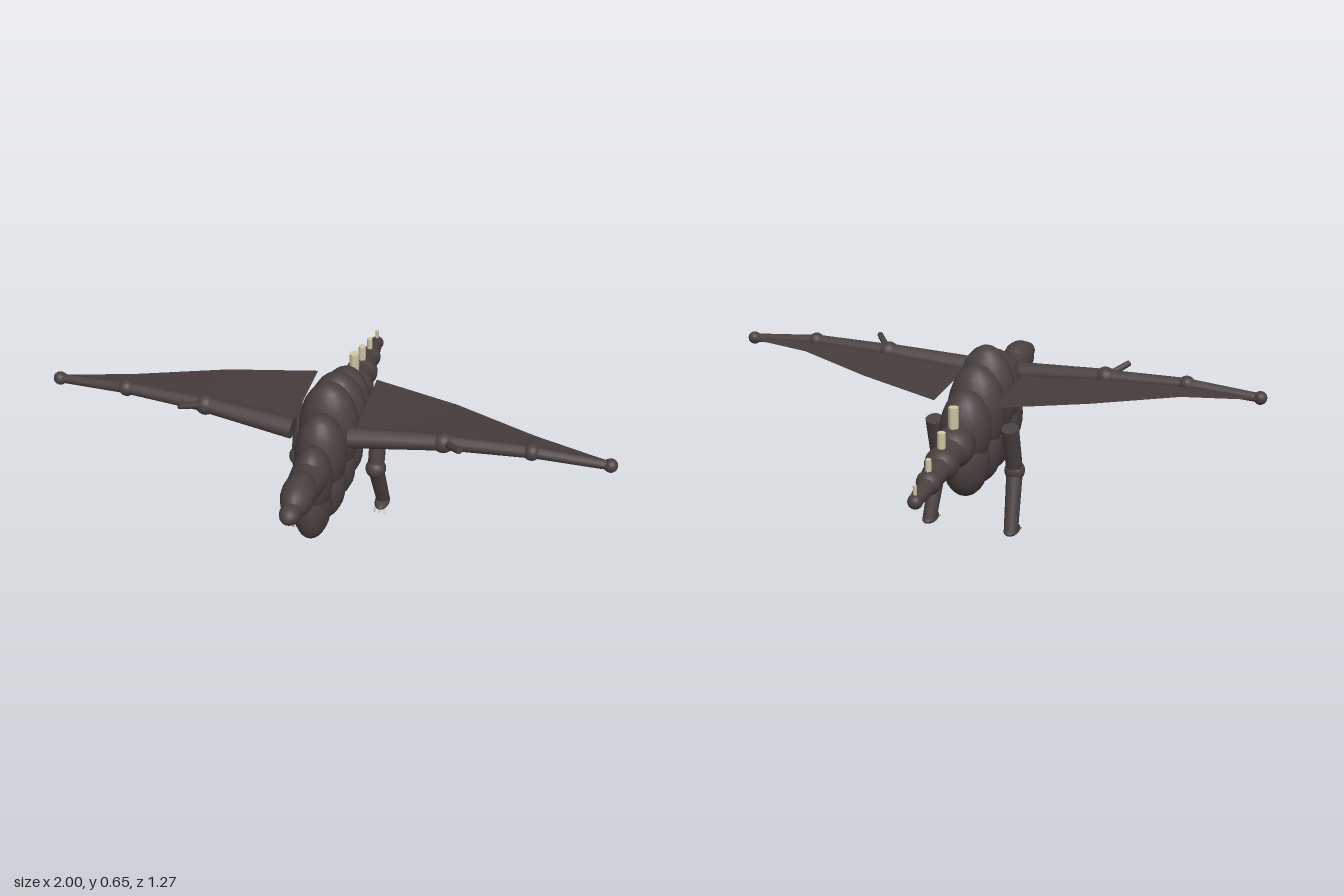
import * as THREE from 'three';

export function createModel() {
  const model = new THREE.Group();
  const hide = new THREE.MeshStandardMaterial({ color: 0x4a4040 });
  hide.name = 'dark hide';
  const membraneHide = new THREE.MeshStandardMaterial({ color: 0x463c3c, side: THREE.DoubleSide });
  membraneHide.name = 'wing hide';
  const bone = new THREE.MeshStandardMaterial({ color: 0xd2c8a8 });
  bone.name = 'bone';
  const ballGeometry = new THREE.SphereGeometry(1, 18, 14);

  function add(parent, name, geometry, material) {
    const mesh = new THREE.Mesh(geometry, material);
    mesh.name = name;
    parent.add(mesh);
    return mesh;
  }
  // Ellipsoid at a centre with three radii
  function blob(parent, name, [x, y, z], rx, ry = rx, rz = rx) {
    const mesh = add(parent, name, ballGeometry, hide);
    mesh.position.set(x, y, z);
    mesh.scale.set(rx, ry, rz);
    return mesh;
  }
  // Tapered limb from a to b
  function limb(parent, name, a, b, ra, rb, material = hide, sides = 12) {
    const start = new THREE.Vector3(...a), end = new THREE.Vector3(...b);
    const dir = end.clone().sub(start);
    const mesh = add(parent, name, new THREE.CylinderGeometry(rb, ra, dir.length(), sides), material);
    mesh.position.copy(start).add(end).multiplyScalar(0.5);
    mesh.quaternion.setFromUnitVectors(new THREE.Vector3(0, 1, 0), dir.normalize());
    return mesh;
  }

  // Trunk: stacked back and belly lobes [z, top, back width, belly width]
  const lobes = [
    [0.335, 0.545, 0.07, 0.065],
    [0.225, 0.605, 0.092, 0.088],
    [0.11, 0.66, 0.108, 0.095],
    [-0.005, 0.625, 0.106, 0.095],
    [-0.12, 0.57, 0.092, 0.085],
  ];
  for (const [z, top, back, belly] of lobes) {
    const low = 0.28;
    blob(model, 'backLobe', [0, (top + low) / 2, z], back, (top - low) / 2, 0.09);
    blob(model, 'bellyLobe', [0, 0.305, z], belly, 0.135, 0.095);
  }

  // Neck, head and fangs
  limb(model, 'neck', [0, 0.45, 0.34], [0, 0.475, 0.49], 0.068, 0.056);
  blob(model, 'head', [0, 0.478, 0.495], 0.058, 0.066, 0.097);
  blob(model, 'snout', [0, 0.476, 0.593], 0.036, 0.034, 0.046);
  blob(model, 'jaw', [0, 0.458, 0.57], 0.026, 0.018, 0.045);
  for (const s of [-1, 1]) {
    limb(model, 'fang', [s * 0.013, 0.46, 0.606], [s * 0.013, 0.432, 0.6], 0.007, 0.005, bone, 6);
  }

  // Tail balls, links and spikes [z, y, radius, spike radius, spike top]
  const tail = [
    [-0.243, 0.408, 0.073, 0.019, 0.555],
    [-0.363, 0.395, 0.06, 0.015, 0.51],
    [-0.487, 0.381, 0.043, 0.011, 0.465],
    [-0.61, 0.368, 0.026, 0.007, 0.425],
  ];
  let previous = [0, 0.42, -0.12], radius = 0.07;
  for (const [z, y, r, spike, top] of tail) {
    limb(model, 'tailLink', previous, [0, y, z], radius * 0.82, r * 0.88);
    blob(model, 'tailBall', [0, y, z], r);
    limb(model, 'tailSpike', [0, y + r * 0.8, z], [0, top, z], spike, spike, bone, 6);
    previous = [0, y, z];
    radius = r;
  }

  for (const s of [-1, 1]) {
    // Wing arm, joints and thumb
    const wing = new THREE.Group();
    wing.name = s > 0 ? 'leftWing' : 'rightWing';
    model.add(wing);
    const p = (x, y, z) => [s * x, y, z];
    const shoulder = p(0.1, 0.53, 0.22), elbow = p(0.42, 0.558, 0.2);
    const wrist = p(0.715, 0.57, 0.192), tip = p(0.975, 0.556, 0.18);
    limb(wing, 'upperArm', shoulder, elbow, 0.037, 0.029);
    limb(wing, 'forearm', elbow, wrist, 0.027, 0.022);
    limb(wing, 'finger', wrist, tip, 0.021, 0.016);
    blob(wing, 'elbow', elbow, 0.037);
    blob(wing, 'wrist', wrist, 0.03);
    blob(wing, 'fingertip', tip, 0.024);
    limb(wing, 'thumb', elbow, p(0.488, 0.592, 0.278), 0.014, 0.011, hide, 8);

    // Membrane panels between the arm and the trailing edge
    const leading = [p(0.11, 0.53, 0.22), elbow, wrist, tip];
    const trailing = [p(0.11, 0.527, -0.14), p(0.42, 0.545, -0.04), p(0.715, 0.56, 0.09), p(0.975, 0.556, 0.16)];
    const corners = [];
    for (let i = 0; i < 3; i++) {
      const quad = [leading[i], leading[i + 1], trailing[i + 1], trailing[i]];
      const order = s > 0 ? [0, 1, 2, 0, 2, 3] : [0, 2, 1, 0, 3, 2];
      for (const k of order) corners.push(...quad[k]);
    }
    const sheet = new THREE.BufferGeometry();
    sheet.setAttribute('position', new THREE.Float32BufferAttribute(corners, 3));
    sheet.computeVertexNormals();
    add(wing, 'membrane', sheet, membraneHide);

    // Leg, foot and claws
    const leg = new THREE.Group();
    leg.name = s > 0 ? 'leftLeg' : 'rightLeg';
    model.add(leg);
    const knee = p(0.145, 0.235, 0.0), ankle = p(0.158, 0.025, -0.08);
    limb(leg, 'thigh', p(0.143, 0.42, -0.055), knee, 0.032, 0.03);
    blob(leg, 'knee', knee, 0.038);
    limb(leg, 'shin', knee, ankle, 0.03, 0.026);
    blob(leg, 'foot', p(0.158, 0.028, -0.066), 0.028, 0.016, 0.05);
    for (const t of [-0.016, 0, 0.016]) {
      limb(leg, 'claw', p(0.158 + t, 0.022, -0.04), p(0.158 + t * 1.2, 0.014, -0.014), 0.006, 0.003, bone, 6);
    }
  }
  return model;
}
